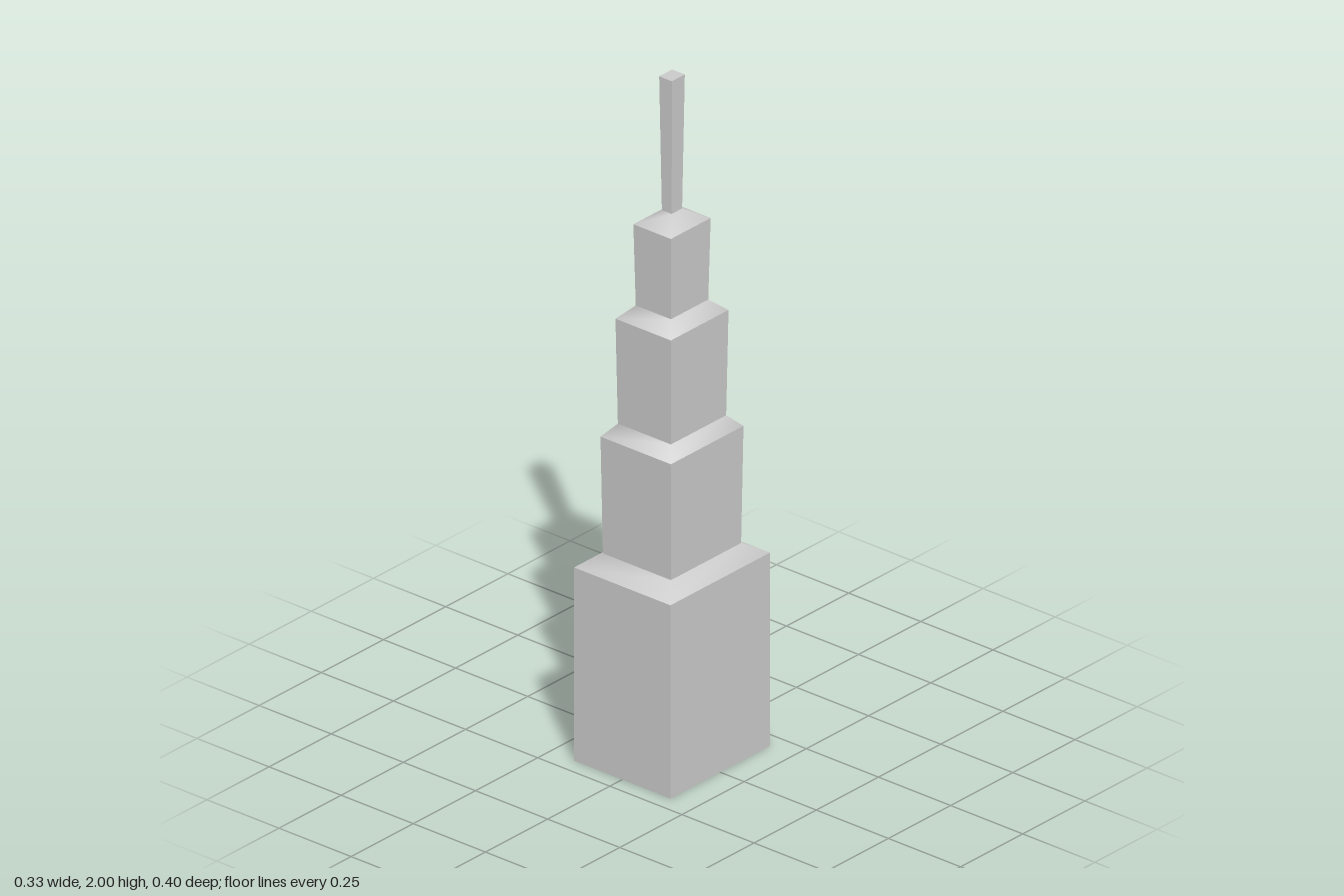
import * as THREE from 'three';

// Rectangular sections: [height, half width, half depth], in bottom/top pairs per tier
const tiers = [
  { name: 'baseTier', bottom: [0, 0.167, 0.2], top: [0.57, 0.167, 0.2] },
  { name: 'lowerTier', bottom: [0.605, 0.118, 0.141], top: [0.95, 0.122, 0.146] },
  { name: 'middleTier', bottom: [0.985, 0.092, 0.111], top: [1.295, 0.096, 0.116] },
  { name: 'upperTier', bottom: [1.33, 0.061, 0.075], top: [1.57, 0.065, 0.08] },
  { name: 'spire', bottom: [1.605, 0.017, 0.021], top: [2, 0.022, 0.026] },
];

const material = new THREE.MeshStandardMaterial({ color: 0xcccccc });

const corners = ([y, w, d]) => [[-w, y, d], [w, y, d], [w, y, -d], [-w, y, -d]];

// Four-sided tapered band between two sections, with optional end caps
function band(lower, upper, { flat = true, floor = false, roof = false } = {}) {
  const index = [];
  for (let i = 0; i < 4; i++) {
    const j = (i + 1) % 4;
    index.push(i, j, j + 4, i, j + 4, i + 4);
  }
  if (floor) index.push(0, 2, 1, 0, 3, 2);
  if (roof) index.push(4, 5, 6, 4, 6, 7);
  let geometry = new THREE.BufferGeometry();
  const points = [...corners(lower), ...corners(upper)].flat();
  geometry.setAttribute('position', new THREE.Float32BufferAttribute(points, 3));
  geometry.setIndex(index);
  if (flat) geometry = geometry.toNonIndexed();
  geometry.computeVertexNormals();
  return geometry;
}

export function createModel() {
  const model = new THREE.Group();
  model.name = 'steppedTower';
  const add = (name, geometry) => {
    const mesh = new THREE.Mesh(geometry, material);
    mesh.name = name;
    model.add(mesh);
  };

  tiers.forEach(({ name, bottom, top }, i) => {
    const next = tiers[i + 1];
    // Slightly flared walls
    add(name, band(bottom, top, { floor: i === 0, roof: !next }));
    // Smooth sloping shoulder up to the next tier
    if (next) add(name + 'Shoulder', band(top, next.bottom, { flat: false }));
  });
  return model;
}
